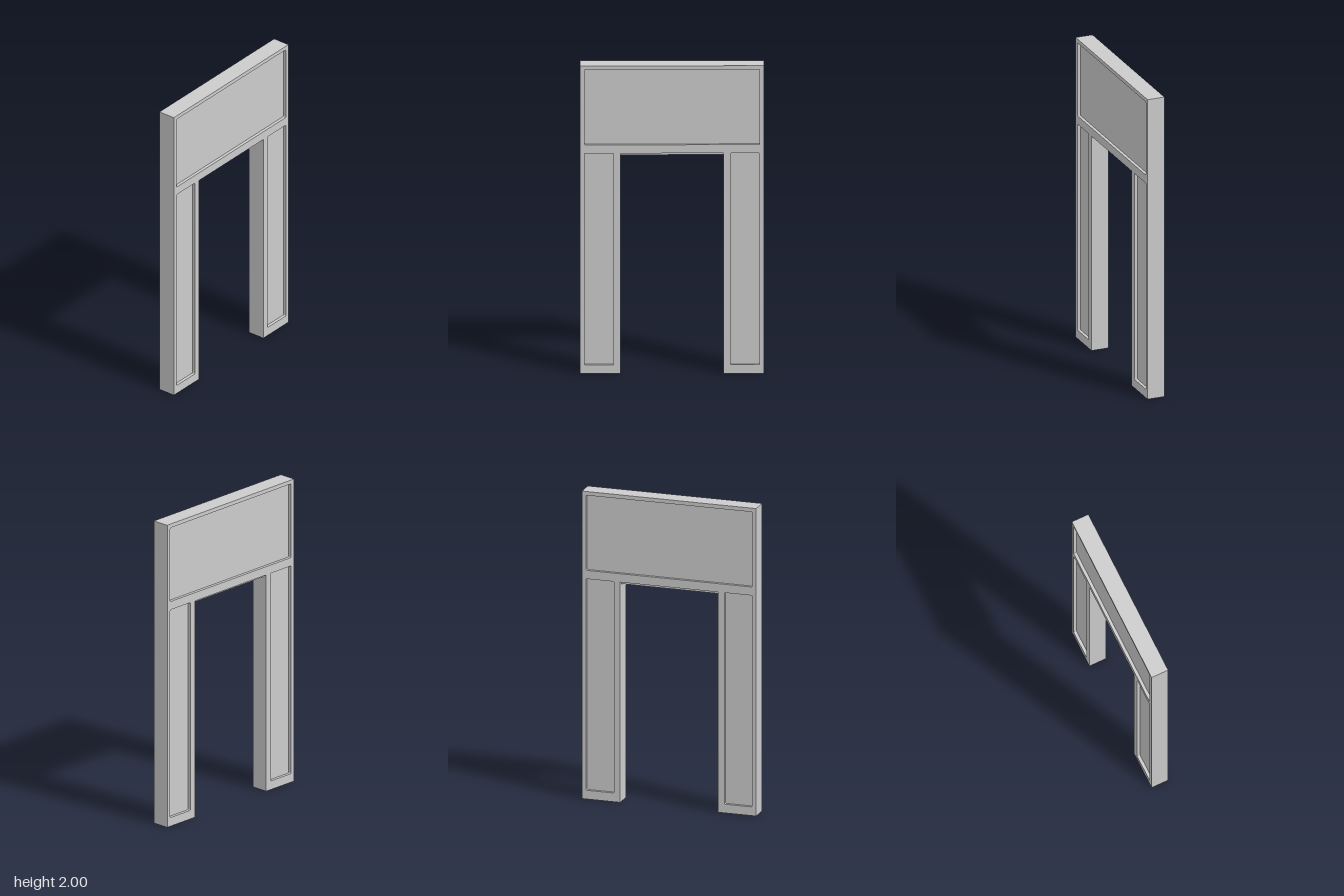
import * as THREE from 'three';

const DEPTH = 0.114, CORE = 0.074;      // full thickness, thickness at the sunk panels
const HALF_W = 0.571, OPEN_W = 0.32, OPEN_H = 1.432;

// sunk panels: [name, x0, y0, x1, y1]
const PANELS = [
  ['upperPanel', -0.544, 1.487, 0.544, 1.975],
  ['rightLegPanel', -0.544, 0.057, -0.362, 1.432],
  ['leftLegPanel', 0.362, 0.057, 0.544, 1.432],
];

function roundedRect(x0, y0, x1, y1, r) {
  const p = new THREE.Path();
  p.absarc(x1 - r, y1 - r, r, 0, Math.PI / 2);
  p.absarc(x0 + r, y1 - r, r, Math.PI / 2, Math.PI);
  p.absarc(x0 + r, y0 + r, r, Math.PI, Math.PI * 1.5);
  p.absarc(x1 - r, y0 + r, r, Math.PI * 1.5, Math.PI * 2);
  p.closePath();
  return p;
}

export function createModel() {
  const group = new THREE.Group();
  group.name = 'doorwayWall';
  const material = new THREE.MeshStandardMaterial({ color: 0xcccccc });

  const add = (name, geometry, x = 0, y = 0, z = 0) => {
    const mesh = new THREE.Mesh(geometry, material);
    mesh.name = name;
    mesh.position.set(x, y, z);
    group.add(mesh);
  };

  // doorway frame, cut through where the panels sit
  const outline = new THREE.Shape([
    [-HALF_W, 0], [-OPEN_W, 0], [-OPEN_W, OPEN_H], [OPEN_W, OPEN_H],
    [OPEN_W, 0], [HALF_W, 0], [HALF_W, 2], [-HALF_W, 2],
  ].map(([x, y]) => new THREE.Vector2(x, y)));
  for (const [, ...rect] of PANELS) outline.holes.push(roundedRect(...rect, 0.006));
  add('frame', new THREE.ExtrudeGeometry(outline,
    { depth: DEPTH, bevelEnabled: false, curveSegments: 3 }), 0, 0, -DEPTH / 2);

  // panels recessed on both faces, tucked slightly into the frame
  for (const [name, x0, y0, x1, y1] of PANELS) {
    add(name, new THREE.BoxGeometry(x1 - x0 + 0.01, y1 - y0 + 0.01, CORE),
      (x0 + x1) / 2, (y0 + y1) / 2);
  }

  // narrow lip hanging below the lintel
  add('lintelLip', new THREE.BoxGeometry(OPEN_W * 2 + 0.01, 0.026, CORE), 0, 1.429);

  return group;
}
